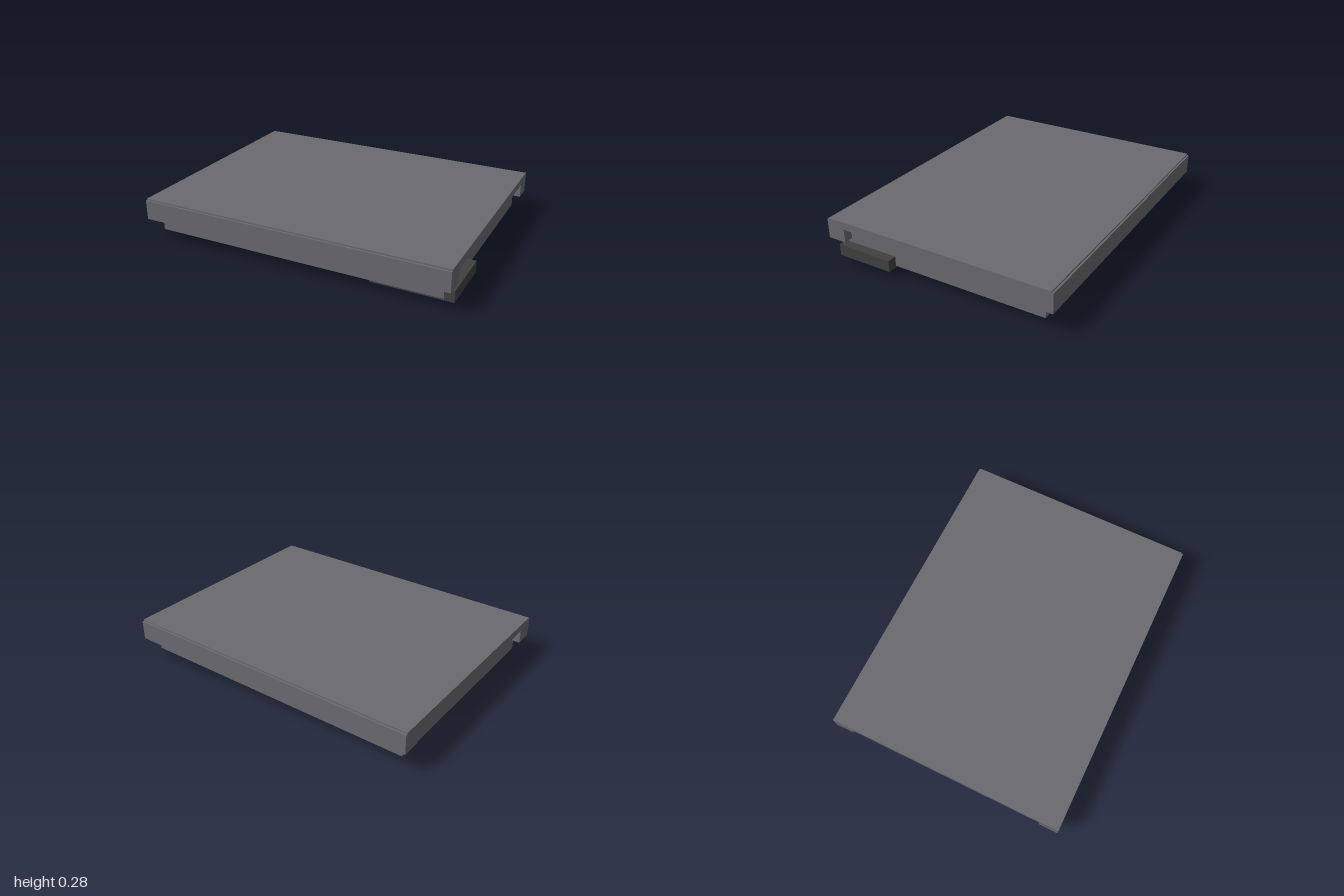
import * as THREE from 'three';

const casing = new THREE.MeshStandardMaterial({ color: 0x6b6a6f });
casing.name = 'grey casing';
const dark = new THREE.MeshStandardMaterial({ color: 0x414141 });
dark.name = 'dark plastic';
const green = new THREE.MeshStandardMaterial({ color: 0x4d825d });
green.name = 'board green';

// Symmetric profile given as [z, y] for one half, extruded along x
function profileBar(name, half, length, material) {
  const mirrored = half.map(([z, y]) => [-z, y]).reverse();
  const shape = new THREE.Shape([...half, ...mirrored].map(([z, y]) => new THREE.Vector2(z, y)));
  const geometry = new THREE.ExtrudeGeometry(shape, { depth: length, bevelEnabled: false });
  geometry.translate(0, 0, -length / 2);
  geometry.rotateY(-Math.PI / 2); // profile axis onto z, length onto x
  const mesh = new THREE.Mesh(geometry, material);
  mesh.name = name;
  return mesh;
}

// Box given by its low and high corners
function block(name, [x0, y0, z0], [x1, y1, z1], material) {
  const mesh = new THREE.Mesh(new THREE.BoxGeometry(x1 - x0, y1 - y0, z1 - z0), material);
  mesh.position.set((x0 + x1) / 2, (y0 + y1) / 2, (z0 + z1) / 2);
  mesh.name = name;
  return mesh;
}

export function createModel() {
  const model = new THREE.Group();
  model.name = 'flatModule';

  // Channel-shaped lid with a small step along its long top edges
  model.add(profileBar('lid', [
    [0.64, 0.227], [0.64, 0.14], [0.763, 0.14], [0.763, 0.265], [0.752, 0.265], [0.752, 0.275],
  ], 2, casing));

  // Body with a thin flange under the lid's legs
  model.add(profileBar('body', [
    [0.688, 0.05], [0.688, 0.127], [0.738, 0.127], [0.738, 0.14], [0.64, 0.14], [0.64, 0.202],
  ], 1.88, casing));

  // Dark sheet between body and lid
  model.add(block('innerSheet', [-0.94, 0.202, -0.64], [0.94, 0.227, 0.575], dark));

  // Connector at the front left corner
  model.add(block('connector', [0.5, 0.04, 0.313], [1, 0.113, 0.687], dark));

  // Circuit board underneath
  model.add(block('board', [-0.75, 0, -0.562], [0.75, 0.05, 0.562], green));

  return model;
}
